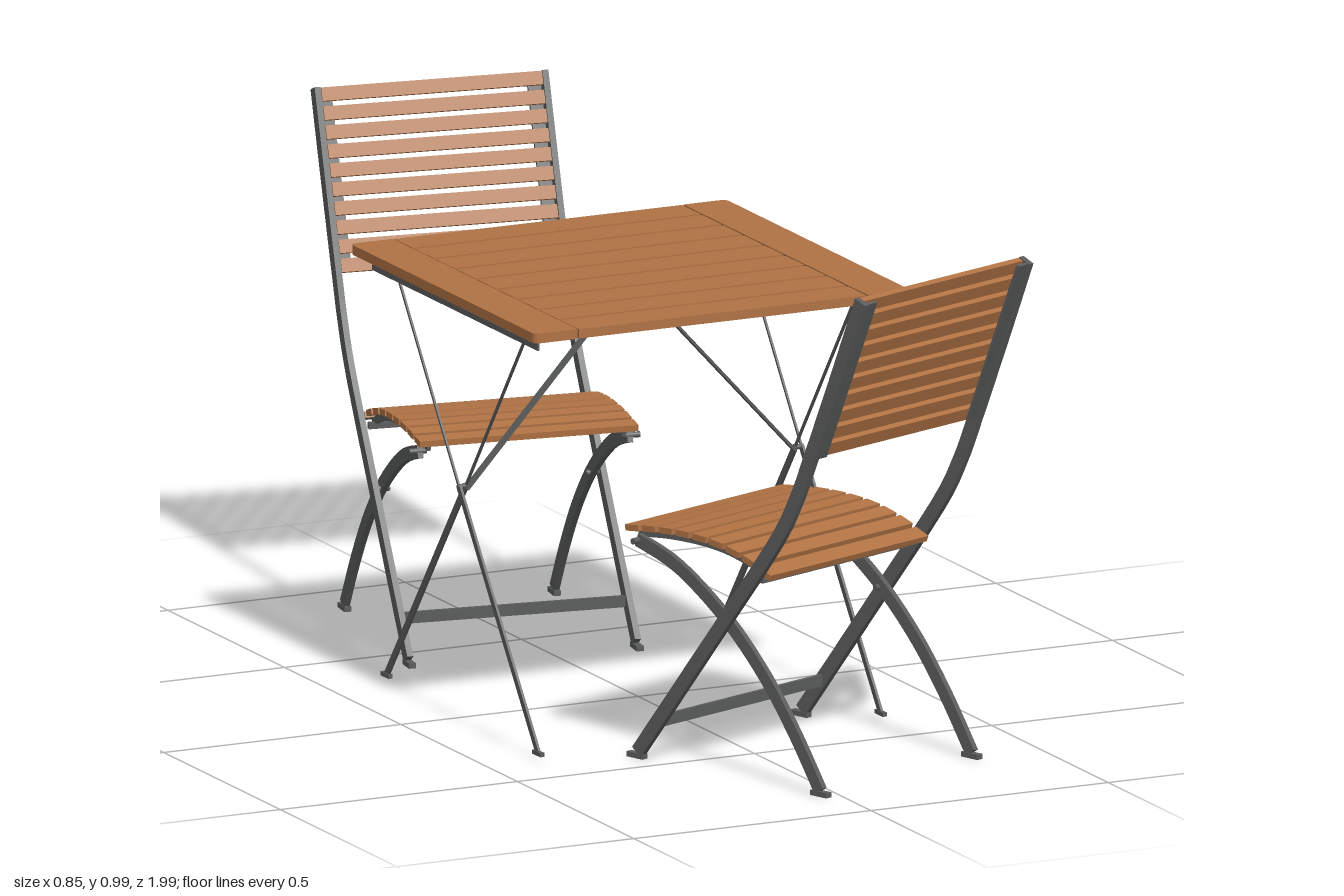
import * as THREE from 'three';

const wood = new THREE.MeshStandardMaterial({ color: 0xb07244 });
wood.name = 'oiled wood';
const metal = new THREE.MeshStandardMaterial({ color: 0x5a5c5b });
metal.name = 'grey metal';

function add(parent, name, geometry, material, x = 0, y = 0, z = 0) {
  const mesh = new THREE.Mesh(geometry, material);
  mesh.name = name;
  mesh.position.set(x, y, z);
  parent.add(mesh);
  return mesh;
}

function box(parent, name, material, size, pos) {
  return add(parent, name, new THREE.BoxGeometry(...size), material, ...pos);
}

// Flat bar following a 2D path; w is its width in the plane, t its thickness
function strap(points, w, t, steps = 24) {
  const path = points.length === 2
    ? new THREE.LineCurve(new THREE.Vector2(...points[0]), new THREE.Vector2(...points[1]))
    : new THREE.SplineCurve(points.map(p => new THREE.Vector2(...p)));
  const n = points.length === 2 ? 1 : steps;
  const sideA = [], sideB = [];
  for (let i = 0; i <= n; i++) {
    const p = path.getPoint(i / n), d = path.getTangent(i / n);
    sideA.push(new THREE.Vector2(p.x - d.y * w / 2, p.y + d.x * w / 2));
    sideB.unshift(new THREE.Vector2(p.x + d.y * w / 2, p.y - d.x * w / 2));
  }
  const shape = new THREE.Shape([...sideA, ...sideB]);
  return new THREE.ExtrudeGeometry(shape, { depth: t, bevelEnabled: false }).translate(0, 0, -t / 2);
}

// Same bar, with the path given as (z, y)
const sideStrap = (points, w, t) => strap(points, w, t).rotateY(-Math.PI / 2);

// Row of slats across x, following a path given as (z, y)
function slats(parent, name, path, count, length, width, thick, lift) {
  for (let i = 0; i < count; i++) {
    const p = path.getPointAt(i / (count - 1)), d = path.getTangentAt(i / (count - 1));
    const slat = box(parent, name, wood, [length, thick, width],
      [0, p.y + d.x * lift, p.x - d.y * lift]);
    slat.rotation.x = -Math.atan2(d.y, d.x);
  }
}

// Folding chair facing +z, with the top of its back at z = 0
function createChair() {
  const chair = new THREE.Group();
  chair.name = 'foldingChair';
  const post = [[0.005, 0.988], [0.068, 0.83], [0.138, 0.66], [0.178, 0.568],
    [0.235, 0.472], [0.4, 0.256], [0.588, 0.012]];
  const cross = [[0.605, 0.42], [0.5, 0.385], [0.38, 0.308], [0.28, 0.215],
    [0.2, 0.115], [0.13, 0.01]];
  const seat = [[0.27, 0.41], [0.315, 0.428], [0.385, 0.445], [0.46, 0.451],
    [0.54, 0.449], [0.614, 0.441]];

  for (const s of [-1, 1]) {
    // Long post running from the back rest to the front foot
    add(chair, 'backPostAndFrontLeg', sideStrap(post, 0.028, 0.012), metal, s * 0.226);
    box(chair, 'frontFoot', metal, [0.014, 0.01, 0.042], [s * 0.226, 0.005, 0.592]);
    // Flange carrying the back slats
    add(chair, 'backFlange', sideStrap([[-0.002, 0.984], [0.13, 0.66]], 0.006, 0.028), metal, s * 0.208);
    // Curved crossing leg
    add(chair, 'rearLeg', sideStrap(cross, 0.026, 0.011), metal, s * 0.208);
    box(chair, 'rearFoot', metal, [0.014, 0.01, 0.042], [s * 0.208, 0.005, 0.13]);
    // Seat rail and pivots
    add(chair, 'seatRail', sideStrap(seat.map(([z, y]) => [z, y - 0.012]), 0.014, 0.008), metal, s * 0.194);
    for (const [y, z] of [[0.42, 0.6], [0.293, 0.37], [0.412, 0.28]]) {
      const pivot = add(chair, 'pivot', new THREE.CylinderGeometry(0.006, 0.006, 0.034, 12), metal, s * 0.212, y, z);
      pivot.rotation.z = Math.PI / 2;
    }
  }

  // Back rest and seat slats
  const backPath = new THREE.LineCurve(new THREE.Vector2(0.011, 0.975), new THREE.Vector2(0.133, 0.67));
  slats(chair, 'backSlat', backPath, 10, 0.438, 0.026, 0.012, 0.007);
  const seatPath = new THREE.SplineCurve(seat.map(p => new THREE.Vector2(...p)));
  slats(chair, 'seatSlat', seatPath, 9, 0.434, 0.034, 0.012, 0.001);

  // Cross bars
  box(chair, 'lowerStretcher', metal, [0.445, 0.022, 0.008], [0, 0.08, 0.535]);
  box(chair, 'seatBar', metal, [0.42, 0.012, 0.012], [0, 0.395, 0.285]);
  return chair;
}

// Tabletop end board with rounded outer corners
function endBoard(inner, outer, half, r) {
  const s = new THREE.Shape();
  s.moveTo(inner, -half);
  s.lineTo(outer - r, -half);
  s.quadraticCurveTo(outer, -half, outer, -half + r);
  s.lineTo(outer, half - r);
  s.quadraticCurveTo(outer, half, outer - r, half);
  s.lineTo(inner, half);
  return new THREE.ExtrudeGeometry(s, { depth: 0.019, bevelEnabled: false, curveSegments: 5 })
    .rotateX(-Math.PI / 2);
}

function createTable() {
  const table = new THREE.Group();
  table.name = 'foldingTable';
  const half = 0.396, gap = 0.01, pitch = (2 * half + gap) / 9;

  // Tabletop boards
  for (let i = 0; i < 9; i++) {
    box(table, 'topSlat', wood, [0.606, 0.018, pitch - gap], [0, 0.8375, (i - 4) * pitch]);
  }
  for (const turn of [0, Math.PI]) {
    add(table, 'endBoard', endBoard(0.306, half, half, 0.015), wood, 0, 0.828).rotation.y = turn;
  }

  // Centre bar under the slats
  box(table, 'centreBar', metal, [0.022, 0.02, 0.62], [0, 0.818, 0]);

  for (const s of [-1, 1]) {
    // Angle rail under each end board
    box(table, 'railWeb', metal, [0.004, 0.025, 0.71], [s * 0.368, 0.815, 0]);
    box(table, 'railFlange', metal, [0.035, 0.004, 0.71], [s * 0.35, 0.825, 0]);
    // Crossing legs, slimmer above the pivot
    for (const d of [-1, 1]) {
      const x = s * (d > 0 ? 0.361 : 0.347);
      add(table, 'lowerLeg', sideStrap([[0, 0.458], [d * 0.34, 0.014]], 0.014, 0.005), metal, x);
      add(table, 'upperLeg', sideStrap([[0, 0.458], [-d * 0.264, 0.812]], 0.005, 0.004), metal, x);
      box(table, 'tableFoot', metal, [0.009, 0.008, 0.034], [x, 0.014, d * 0.34]);
    }
    const pivot = add(table, 'legPivot', new THREE.CylinderGeometry(0.005, 0.005, 0.02, 12), metal, s * 0.354, 0.458, 0);
    pivot.rotation.z = Math.PI / 2;
    // Diagonal brace from the pivot to the centre bar
    add(table, 'brace', strap([[s * 0.346, 0.452], [s * 0.012, 0.815]], 0.005, 0.016), metal);
  }
  return table;
}

export function createModel() {
  const model = new THREE.Group();
  model.name = 'bistroSet';

  const table = createTable();
  table.position.set(-0.03, 0, 0.028);

  const frontChair = createChair();
  frontChair.position.set(0.205, 0, 0.905);
  frontChair.rotation.y = Math.PI + 0.356;

  const backChair = createChair();
  backChair.position.set(0.0285, 0, -0.957);
  backChair.rotation.y = -0.15;

  model.add(table, frontChair, backChair);
  return model;
}
